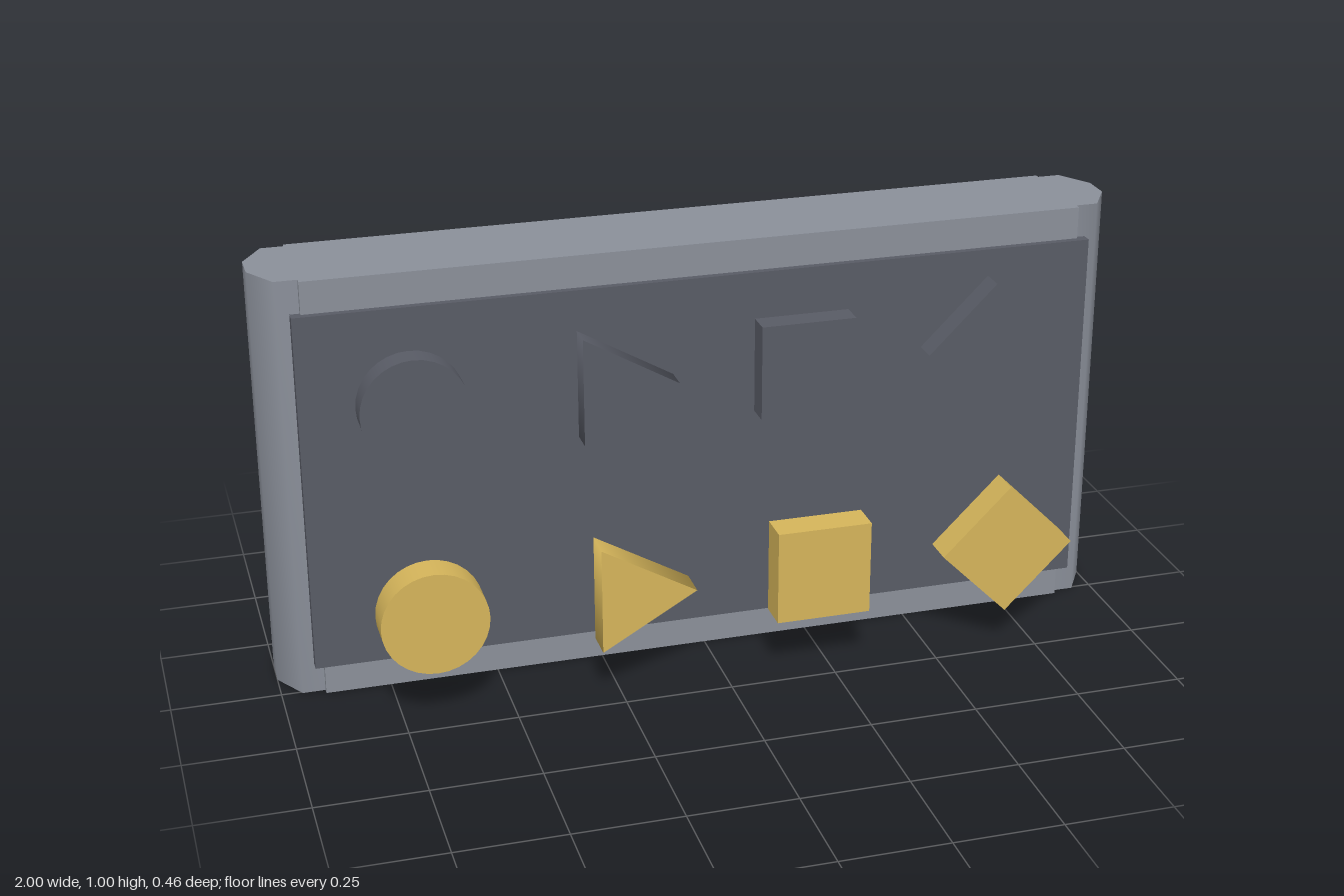
import * as THREE from 'three';
import { toCreasedNormals } from 'three/addons/utils/BufferGeometryUtils.js';

export function createModel() {
  const model = new THREE.Group();
  model.name = 'shapePuzzleBoard';

  const material = (name, color) => {
    const m = new THREE.MeshStandardMaterial({ color });
    m.name = name;
    return m;
  };
  const stone = material('stone grey', 0x8a8f99);
  const slate = material('dark slate', 0x585b65);
  const gold = material('gold', 0xd4b45a);

  const add = (name, geometry, mat, x, y, z) => {
    const mesh = new THREE.Mesh(geometry, mat);
    mesh.name = name;
    mesh.position.set(x, y, z);
    model.add(mesh);
    return mesh;
  };

  // Slab and the panel set on its front
  add('slab', new THREE.BoxGeometry(1.8, 1, 0.25), stone, 0, 0.5, -0.105);
  add('panel', new THREE.BoxGeometry(1.845, 0.85, 0.025), slate, 0, 0.5, 0.0235);

  // Faceted rounded ends, smooth around the side and sharp at the caps
  const profile = [[0.86, -0.112], [0.952, -0.112], [1, -0.034],
    [1, 0.034], [0.952, 0.112], [0.86, 0.112]].map(([x, y]) => new THREE.Vector2(x, y));
  const endGeometry = toCreasedNormals(
    new THREE.ExtrudeGeometry(new THREE.Shape(profile), { depth: 1, bevelEnabled: false })
      .rotateX(-Math.PI / 2), 1.1);
  add('leftEnd', endGeometry, stone, 0, 0, -0.107);
  add('rightEnd', endGeometry, stone, 0, 0, -0.107).rotation.y = Math.PI;

  // Four shapes: fixed ones above on the panel, loose ones floating below
  const prism = (radius, sides, depth) =>
    new THREE.CylinderGeometry(radius, radius, depth, sides)
      .rotateY(Math.PI / 2).rotateX(Math.PI / 2);
  const shapes = [
    ['circle', (d) => prism(0.122, 32, d)],
    ['triangle', (d) => prism(0.147, 3, d)],
    ['square', (d) => new THREE.BoxGeometry(0.222, 0.225, d)],
    ['diamond', (d) => new THREE.BoxGeometry(0.225, 0.225, d).rotateZ(Math.PI / 4)],
  ];
  shapes.forEach(([name, build], i) => {
    const x = -0.675 + i * 0.45;
    add(name + 'Relief', build(0.075), slate, x, 0.702, 0.056);
    add(name + 'Piece', build(0.075), gold, x, 0.252, 0.195);
  });

  return model;
}
